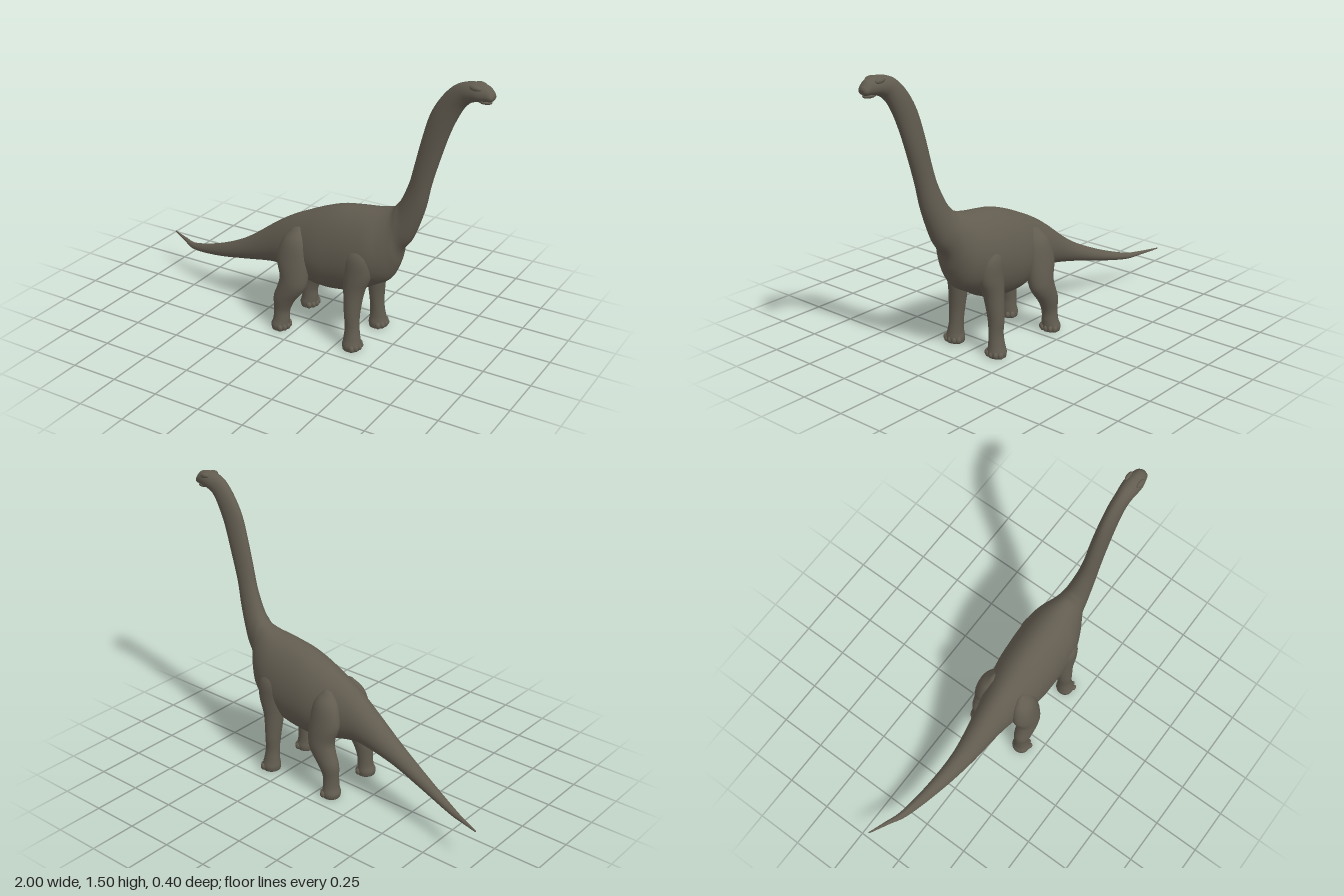
import * as THREE from 'three';

const hide = new THREE.MeshStandardMaterial({ color: 0x625c50 });
hide.name = 'greyBrownHide';

// Smooth skin through sections [upperX, upperY, lowerX, lowerY, centreZ, halfWidth].
// "taper" narrows the upper half of each section, giving an egg shape.
function loft(name, sections, steps, sides, taper = 0) {
  const curve = (f) => new THREE.CatmullRomCurve3(sections.map(f), false, 'catmullrom', 0.5);
  const upper = curve((s) => new THREE.Vector3(s[0], s[1], 0));
  const lower = curve((s) => new THREE.Vector3(s[2], s[3], 0));
  const span = curve((s) => new THREE.Vector3(s[4], s[5], 0));
  const pos = [];
  const index = [];
  for (let i = 0; i <= steps; i++) {
    const t = i / steps;
    const a = upper.getPoint(t);
    const b = lower.getPoint(t);
    const w = span.getPoint(t);
    for (let j = 0; j < sides; j++) {
      const ang = (j / sides) * Math.PI * 2;
      const s = Math.sin(ang);
      const k = (1 + s) / 2;
      pos.push(b.x + (a.x - b.x) * k, b.y + (a.y - b.y) * k,
        w.x + w.y * Math.cos(ang) * (1 - taper * s));
      if (i < steps) {
        const p = i * sides + j;
        const q = i * sides + (j + 1) % sides;
        index.push(p, p + sides, q, q, p + sides, q + sides);
      }
    }
  }
  // End caps
  const first = sections[0];
  const last = sections[sections.length - 1];
  const c = pos.length / 3;
  for (const s of [first, last]) pos.push((s[0] + s[2]) / 2, (s[1] + s[3]) / 2, s[4]);
  for (let j = 0; j < sides; j++) {
    const n = (j + 1) % sides;
    index.push(c, j, n, c + 1, steps * sides + n, steps * sides + j);
  }
  const geo = new THREE.BufferGeometry();
  geo.setAttribute('position', new THREE.Float32BufferAttribute(pos, 3));
  geo.setIndex(index);
  geo.computeVertexNormals();
  const mesh = new THREE.Mesh(geo, hide);
  mesh.name = name;
  return mesh;
}

const ball = new THREE.SphereGeometry(1, 16, 12);
function lump(name, x, y, z, rx, ry, rz, tilt = 0) {
  const m = new THREE.Mesh(ball, hide);
  m.name = name;
  m.position.set(x, y, z);
  m.scale.set(rx, ry, rz);
  m.rotation.z = tilt;
  return m;
}

const tailAndTrunk = [
  [-1, 0.198, -1, 0.192, -0.18, 0.004],
  [-0.9, 0.197, -0.9, 0.178, -0.137, 0.012],
  [-0.8, 0.205, -0.8, 0.168, -0.095, 0.021],
  [-0.6, 0.275, -0.6, 0.205, -0.045, 0.037],
  [-0.4, 0.375, -0.4, 0.255, -0.012, 0.056],
  [-0.2, 0.52, -0.2, 0.295, -0.003, 0.085],
  [-0.1, 0.585, -0.1, 0.285, 0, 0.105],
  [0, 0.635, 0, 0.26, 0, 0.13],
  [0.1, 0.68, 0.1, 0.245, 0, 0.15],
  [0.2, 0.715, 0.2, 0.25, 0, 0.156],
  [0.3, 0.732, 0.31, 0.275, 0, 0.157],
  [0.38, 0.742, 0.41, 0.33, 0, 0.147],
  [0.44, 0.755, 0.48, 0.375, 0, 0.122],
];
const neckAndHead = [
  [0.485, 0.77, 0.522, 0.46, 0.005, 0.093],
  [0.51, 0.795, 0.545, 0.55, 0.01, 0.074],
  [0.535, 0.83, 0.6, 0.63, 0.016, 0.062],
  [0.578, 0.93, 0.66, 0.79, 0.026, 0.049],
  [0.605, 1.03, 0.695, 0.94, 0.033, 0.043],
  [0.64, 1.17, 0.745, 1.11, 0.037, 0.042],
  [0.68, 1.3, 0.79, 1.24, 0.042, 0.04],
  [0.735, 1.395, 0.837, 1.338, 0.045, 0.039],
  [0.8, 1.462, 0.872, 1.383, 0.05, 0.04],
  [0.865, 1.49, 0.9, 1.4, 0.053, 0.045],
  [0.92, 1.495, 0.93, 1.408, 0.055, 0.045],
  [0.965, 1.486, 0.962, 1.412, 0.055, 0.036],
  [0.99, 1.46, 0.985, 1.417, 0.055, 0.029],
  [0.998, 1.445, 0.994, 1.425, 0.055, 0.016],
];

// Leg sections run from the hip or shoulder down: front point, back point, z, half width
const hindLeg = [
  [0.0, 0.575, -0.04, 0.565, 0.09, 0.012],
  [0.05, 0.51, -0.09, 0.5, 0.105, 0.05],
  [0.068, 0.4, -0.112, 0.4, 0.122, 0.058],
  [0.066, 0.29, -0.088, 0.31, 0.135, 0.056],
  [0.045, 0.235, -0.1, 0.25, 0.14, 0.052],
  [-0.005, 0.17, -0.122, 0.185, 0.142, 0.046],
  [-0.034, 0.11, -0.122, 0.115, 0.14, 0.04],
  [-0.037, 0.06, -0.124, 0.06, 0.142, 0.043],
  [-0.038, 0.025, -0.134, 0.025, 0.145, 0.05],
  [-0.042, 0, -0.13, 0, 0.145, 0.047],
];
const foreLeg = [
  [0.365, 0.6, 0.325, 0.6, 0.1, 0.012],
  [0.42, 0.52, 0.28, 0.52, 0.112, 0.05],
  [0.425, 0.42, 0.272, 0.42, 0.115, 0.053],
  [0.39, 0.32, 0.278, 0.32, 0.118, 0.05],
  [0.372, 0.2, 0.29, 0.2, 0.13, 0.044],
  [0.372, 0.12, 0.297, 0.12, 0.133, 0.038],
  [0.38, 0.06, 0.293, 0.06, 0.138, 0.042],
  [0.387, 0.025, 0.288, 0.025, 0.14, 0.05],
  [0.382, 0, 0.291, 0, 0.14, 0.047],
];

function leg(name, sections, side) {
  const g = new THREE.Group();
  g.name = name;
  g.add(loft('limb', sections.map((s) => [...s.slice(0, 4), s[4] * side, s[5]]), 48, 24));
  // Toes fanned around the front of the foot
  const foot = sections[sections.length - 1];
  const cx = (foot[0] + foot[2]) / 2;
  for (let i = -2; i <= 2; i++) {
    const a = i * 0.5;
    g.add(lump('toe', cx + Math.cos(a) * 0.042, 0.018, side * foot[4] + Math.sin(a) * 0.053,
      0.016, 0.018, 0.012));
  }
  return g;
}

export function createModel() {
  const model = new THREE.Group();
  model.name = 'longNeckedDinosaur';
  model.add(loft('body', [...tailAndTrunk, ...neckAndHead], 182, 36, 0.1));

  // Head details: lower jaw, snout and brow ridges
  model.add(lump('lowerJaw', 0.95, 1.413, 0.055, 0.036, 0.013, 0.027, -0.08));
  model.add(lump('snout', 0.972, 1.447, 0.055, 0.026, 0.022, 0.031, -0.4));
  for (const side of [-1, 1]) {
    model.add(lump('browRidge', 0.915, 1.476, 0.055 + side * 0.033, 0.03, 0.014, 0.013, -0.1));
    const label = side > 0 ? 'front' : 'back';
    model.add(leg(label + 'SideHindLeg', hindLeg, side));
    model.add(leg(label + 'SideForeLeg', foreLeg, side));
  }
  return model;
}
